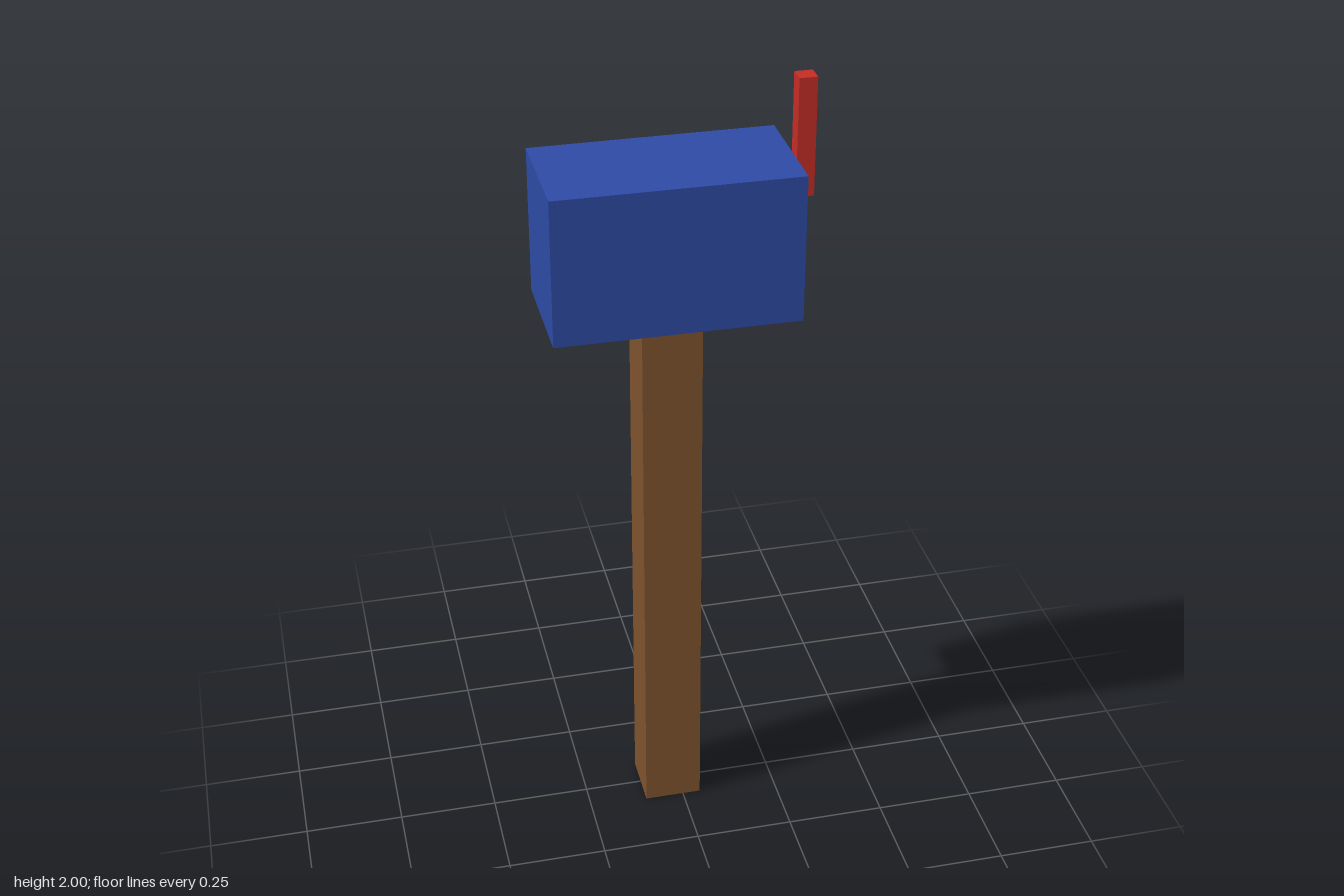
import * as THREE from 'three';

function material(name, color) {
  const m = new THREE.MeshStandardMaterial({ color });
  m.name = name;
  return m;
}

// Box standing on height y, centred on x and z = 0
function block(name, [w, h, d], x, y, mat) {
  const mesh = new THREE.Mesh(new THREE.BoxGeometry(w, h, d), mat);
  mesh.name = name;
  mesh.position.set(x, y + h / 2, 0);
  return mesh;
}

export function createModel() {
  const wood = material('brown wood', 0x7d522d);
  const blue = material('blue paint', 0x2d4aa3);
  const red = material('red paint', 0xc22d25);

  const mailbox = new THREE.Group();
  mailbox.name = 'mailbox';
  mailbox.add(
    block('post', [0.147, 1.45, 0.147], -0.027, 0, wood),
    block('letterBox', [0.593, 0.367, 0.296], -0.027, 1.45, blue),
    // Signal flag, standing just clear of the box's left end
    block('flag', [0.044, 0.293, 0.044], 0.3, 1.707, red)
  );
  return mailbox;
}
